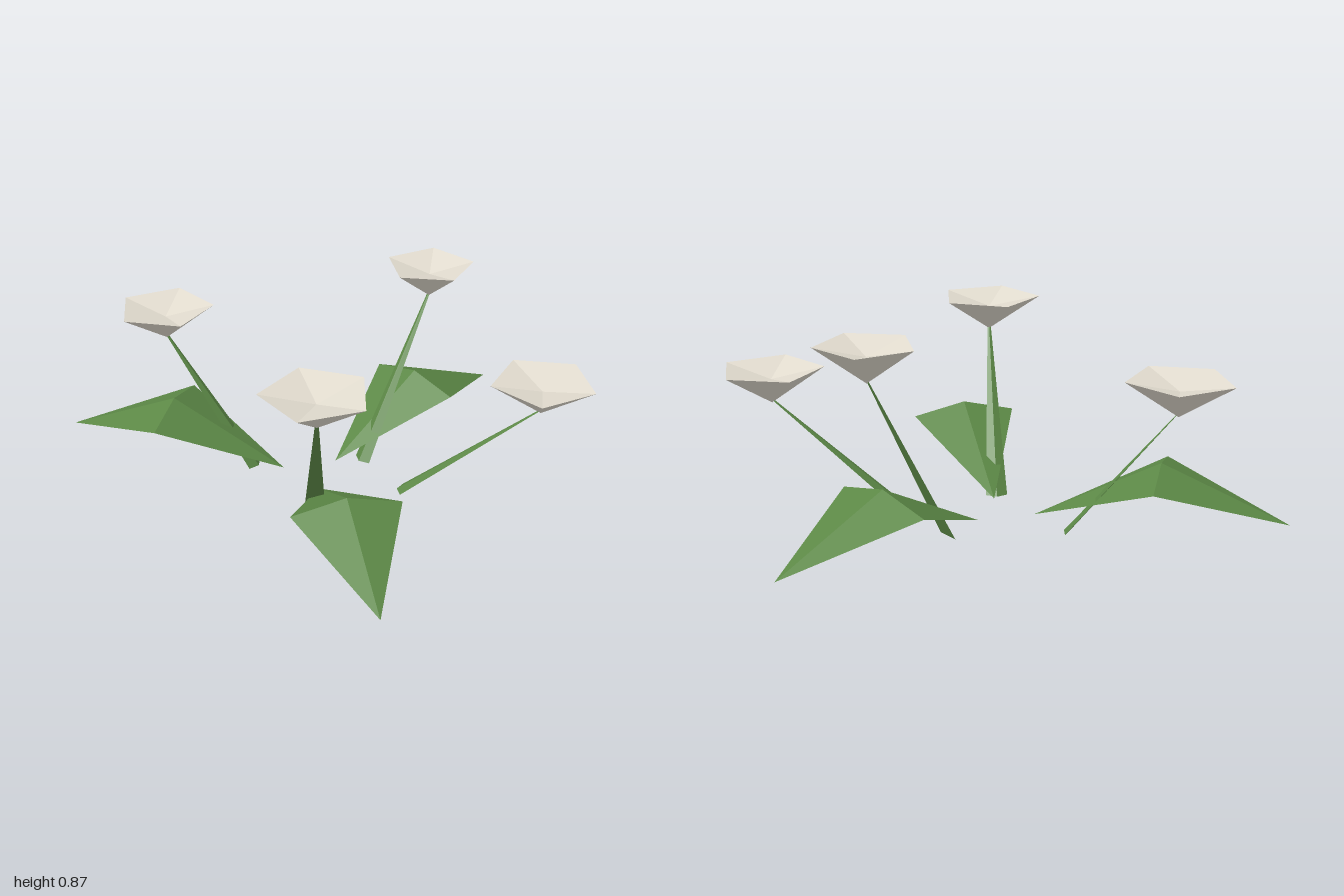
import * as THREE from 'three';

const green = new THREE.MeshStandardMaterial({ color: 0x5c8846, flatShading: true, side: THREE.DoubleSide });
const cream = new THREE.MeshStandardMaterial({ color: 0xe2dccf, flatShading: true });

// base: foot of stem; head: centre of flower rim; angle: one rim corner, degrees from +x towards +z
const flowers = [
  { base: [-0.155, 0.028], head: [-0.275, 0.8, 0.411], r: 0.225, angle: -16 },
  { base: [0.26, -0.005], head: [0.756, 0.6, 0.308], r: 0.225, angle: -24 },
  { base: [0.19, -0.295], head: [0.56, 0.866, -0.416], r: 0.2, angle: 11 },
  { base: [-0.275, -0.43], head: [-0.572, 0.7, -0.753], r: 0.217, angle: 14 },
];

// plan positions of each leaf's inner and outer tip
const leaves = [
  { inner: [-0.095, -0.085], outer: [-0.22, 0.93] },
  { inner: [0.055, -0.275], outer: [0.997, -0.672] },
  { inner: [-0.183, -0.303], outer: [-1, -0.924] },
];

// Five-sided cup with a shallow dished top
function makeBloom({ head, r, angle }) {
  const profile = [[0, -0.147], [r, 0], [0, -0.045]].map(p => new THREE.Vector2(...p));
  const geo = new THREE.LatheGeometry(profile, 5, THREE.MathUtils.degToRad(90 - angle));
  const mesh = new THREE.Mesh(geo, cream);
  mesh.name = 'bloom';
  mesh.position.set(...head);
  return mesh;
}

// Leaning, tapered three-sided stem with its flat side outwards
function makeStem({ base, head }) {
  const dx = head[0] - base[0], dz = head[2] - base[1];
  const height = head[1] - 0.13;
  const reach = Math.hypot(dx, dz);
  const geo = new THREE.CylinderGeometry(0.15, 1, height, 3, 1, false, Math.PI);
  geo.scale(0.054, 1, 0.015);
  geo.translate(0, height / 2, 0);
  const pos = geo.attributes.position;
  for (let i = 0; i < pos.count; i++) {
    pos.setZ(i, pos.getZ(i) + reach * pos.getY(i) / height);
  }
  geo.computeVertexNormals();
  const mesh = new THREE.Mesh(geo, green);
  mesh.name = 'stem';
  mesh.position.set(base[0], 0, base[1]);
  mesh.rotation.y = Math.atan2(dx, dz);
  return mesh;
}

// Diamond leaf, arched along its length and folded along its midrib
function makeLeaf({ inner, outer }) {
  const dx = outer[0] - inner[0], dz = outer[1] - inner[1];
  const half = Math.hypot(dx, dz) / 2;
  const geo = new THREE.BufferGeometry();
  geo.setAttribute('position', new THREE.Float32BufferAttribute([
    0, 0.315, 0, // midrib peak
    0, 0.105, half, // outer tip
    0.23, 0.262, 0,
    0, 0.037, -half, // inner tip
    -0.23, 0.262, 0,
  ], 3));
  geo.setIndex([0, 1, 2, 0, 2, 3, 0, 3, 4, 0, 4, 1]);
  geo.computeVertexNormals();
  const mesh = new THREE.Mesh(geo, green);
  mesh.name = 'leaf';
  mesh.position.set((inner[0] + outer[0]) / 2, 0, (inner[1] + outer[1]) / 2);
  mesh.rotation.y = Math.atan2(dx, dz);
  return mesh;
}

export function createModel() {
  const model = new THREE.Group();
  model.name = 'flowerPatch';
  for (const f of flowers) {
    const flower = new THREE.Group();
    flower.name = 'flower';
    flower.add(makeStem(f), makeBloom(f));
    model.add(flower);
  }
  for (const l of leaves) model.add(makeLeaf(l));
  return model;
}
